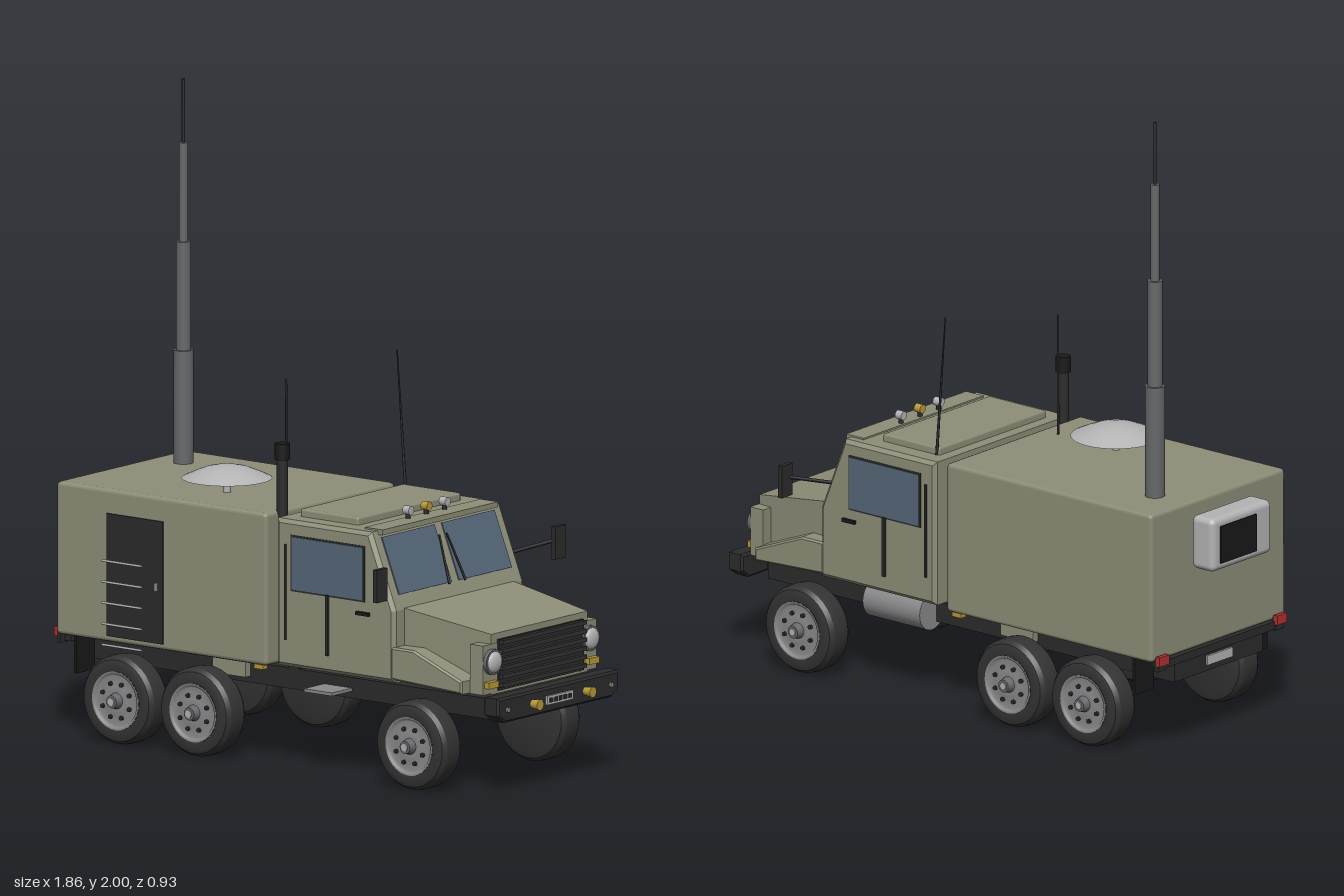
import * as THREE from 'three';
import { RoundedBoxGeometry } from 'three/addons/geometries/RoundedBoxGeometry.js';
import { toCreasedNormals } from 'three/addons/utils/BufferGeometryUtils.js';

const mat = (color, extra = {}) => new THREE.MeshStandardMaterial({ color, ...extra });
const M = {
  paint: mat(0x8e8e79), dark: mat(0x2b2b2b), black: mat(0x191919), tyre: mat(0x333333),
  steel: mat(0x8a8a8c), light: mat(0xb4b4b4), glass: mat(0x566778), amber: mat(0xb99a3a), red: mat(0xb03030),
  mast: mat(0x66686a), dish: mat(0xb4b4b4, { side: THREE.DoubleSide }),
};

export function createModel() {
  const root = new THREE.Group();
  const add = (name, geo, m, x = 0, y = 0, z = 0, parent = root) => {
    const mesh = new THREE.Mesh(geo, m);
    mesh.name = name;
    mesh.position.set(x, y, z);
    parent.add(mesh);
    return mesh;
  };
  // box given by its limits
  const box = (name, m, x0, x1, y0, y1, z0, z1, parent = root) =>
    add(name, new THREE.BoxGeometry(x1 - x0, y1 - y0, z1 - z0), m, (x0 + x1) / 2, (y0 + y1) / 2, (z0 + z1) / 2, parent);
  const rounded = (name, m, x0, x1, y0, y1, z0, z1, r, seg = 1) =>
    add(name, new RoundedBoxGeometry(x1 - x0, y1 - y0, z1 - z0, seg, r), m, (x0 + x1) / 2, (y0 + y1) / 2, (z0 + z1) / 2);
  // round bar between two points
  const rod = (name, m, a, b, r0, r1 = r0, n = 12, parent = root) => {
    const A = new THREE.Vector3(...a), B = new THREE.Vector3(...b), d = B.clone().sub(A);
    const mesh = add(name, new THREE.CylinderGeometry(r1, r0, d.length(), n), m, ...A.clone().add(B).multiplyScalar(0.5), parent);
    mesh.quaternion.setFromUnitVectors(new THREE.Vector3(0, 1, 0), d.normalize());
    return mesh;
  };
  // side profile extruded across z from z0 to z1
  const profile = (name, m, pts, z0, z1, bevel = 0) => {
    const geo = new THREE.ExtrudeGeometry(new THREE.Shape(pts.map(p => new THREE.Vector2(...p))), {
      depth: z1 - z0 - 2 * bevel, bevelEnabled: bevel > 0, bevelSize: bevel, bevelOffset: -bevel, bevelThickness: bevel, bevelSegments: 1,
    });
    return add(name, geo, m, 0, 0, z0 + bevel);
  };
  const both = fn => [1, -1].forEach(fn);

  // chassis and running gear
  box('chassis', M.dark, -0.83, 0.81, 0.23, 0.295, -0.21, 0.21);
  box('bodyMount', M.paint, -0.28, -0.15, 0.25, 0.32, -0.235, 0.235);
  rod('fuelTank', M.steel, [0.13, 0.268, -0.23], [0.36, 0.268, -0.23], 0.06, 0.06, 24);
  box('cabStep', M.steel, 0.14, 0.25, 0.252, 0.262, 0.2, 0.31);
  both(s => {
    box('mudFlap', M.black, -0.76, -0.75, 0.2, 0.32, s * 0.27 - 0.045, s * 0.27 + 0.045);
    box('cabMount', M.dark, 0.0, 0.04, 0.29, 0.36, s * 0.19 - 0.02, s * 0.19 + 0.02);
    box('sideMarker', M.amber, -0.055, -0.02, 0.302, 0.316, s * 0.3 - 0.012, s * 0.3 + 0.012);
  });

  // wheels: the profile runs from the inner face around the tread to the rim
  const tyreGeo = toCreasedNormals(new THREE.LatheGeometry([
    [0, -0.05], [0.11, -0.05], [0.128, -0.044], [0.138, -0.03], [0.14, -0.01], [0.14, 0.015],
    [0.138, 0.032], [0.128, 0.046], [0.11, 0.052], [0.092, 0.05], [0.088, 0.036], [0, 0.036],
  ].map(p => new THREE.Vector2(...p)), 36).rotateX(Math.PI / 2), 0.5);
  const rimGeo = new THREE.LatheGeometry([[0.092, 0.051], [0.084, 0.051], [0.078, 0.041], [0.045, 0.047], [0.03, 0.047], [0, 0.047]]
    .map(p => new THREE.Vector2(...p)).reverse(), 32).rotateX(Math.PI / 2);
  const rimMat = mat(0x8a8a8c, { side: THREE.DoubleSide });
  const hubGeo = new THREE.CylinderGeometry(0.02, 0.026, 0.025, 16).rotateX(Math.PI / 2);
  const boltGeo = new THREE.CylinderGeometry(0.007, 0.007, 0.012, 8).rotateX(Math.PI / 2);
  for (const x of [-0.575, -0.27, 0.58]) both(s => {
    const wheel = new THREE.Group();
    wheel.name = 'wheel';
    wheel.position.set(x, 0.14, s * 0.293);
    if (s < 0) wheel.rotation.y = Math.PI;
    root.add(wheel);
    add('tyre', tyreGeo, M.tyre, 0, 0, 0, wheel);
    add('rim', rimGeo, rimMat, 0, 0, 0, wheel);
    add('hub', hubGeo, M.mast, 0, 0, 0.058, wheel);
    add('hubCap', new THREE.CylinderGeometry(0.012, 0.012, 0.01, 12).rotateX(Math.PI / 2), M.light, 0, 0, 0.069, wheel);
    for (let i = 0; i < 8; i++) {
      const a = (i + 0.5) * Math.PI / 4;
      add('wheelBolt', boltGeo, M.dark, Math.cos(a) * 0.056, Math.sin(a) * 0.056, 0.047, wheel);
    }
  });

  // shelter body with side door and ladder
  rounded('shelter', M.paint, -0.83, 0.0, 0.315, 0.795, -0.32, 0.32, 0.014);
  box('shelterDoor', M.dark, -0.625, -0.405, 0.335, 0.72, 0.315, 0.325);
  box('doorHandle', M.light, -0.432, -0.424, 0.5, 0.525, 0.32, 0.332);
  for (let i = 0; i < 5; i++) rod('ladderRung', M.light, [-0.595, 0.585 - i * 0.066, 0.384], [-0.44, 0.585 - i * 0.066, 0.384], 0.004, 0.004, 8);

  // rear equipment, lamps and plate
  rounded('airUnit', M.light, -0.93, -0.84, 0.585, 0.757, -0.145, 0.14, 0.02, 3);
  box('airUnitGrille', M.black, -0.934, -0.925, 0.61, 0.73, -0.11, 0.06);
  box('airUnitBracket', M.steel, -0.85, -0.82, 0.61, 0.73, -0.1, 0.1);
  box('rearPlate', M.light, -0.837, -0.829, 0.25, 0.28, -0.06, 0.06);
  box('rearBar', M.dark, -0.838, -0.8, 0.29, 0.315, -0.28, 0.28);
  both(s => {
    box('tailLamp', M.red, -0.85, -0.835, 0.305, 0.335, s * 0.28 - 0.023, s * 0.28 + 0.023);
    box('tailLampBase', M.dark, -0.84, -0.825, 0.285, 0.33, s * 0.28 - 0.02, s * 0.28 + 0.02);
  });

  // roof equipment: telescopic mast, dish, aerials, exhaust
  [[0.79, 1.15, 0.031], [1.15, 1.49, 0.023], [1.49, 1.8, 0.014], [1.8, 2.0, 0.005]].forEach(([y0, y1, r]) =>
    rod('mastSection', r < 0.01 ? M.dark : M.mast, [-0.705, y0, -0.155], [-0.705, y1, -0.155], r, r, 20));
  rod('dishStem', M.light, [-0.31, 0.79, 0.125], [-0.31, 0.86, 0.125], 0.012);
  add('dish', new THREE.LatheGeometry([[0.14, 0], [0.105, 0.016], [0.07, 0.03], [0.035, 0.038], [0, 0.041]]
    .map(p => new THREE.Vector2(...p)), 32), M.dish, -0.31, 0.84, 0.125);
  rod('shelterAerial', M.dark, [-0.075, 0.79, 0.127], [-0.075, 1.18, 0.127], 0.004, 0.003, 8);
  rod('cabAerial', M.dark, [0.092, 0.77, -0.255], [0.066, 1.232, -0.243], 0.005, 0.002, 8);
  rod('exhaustStack', M.dark, [0.002, 0.33, 0.243], [0.002, 0.96, 0.243], 0.018, 0.018, 16);
  rod('exhaustCap', M.black, [0.002, 0.955, 0.243], [0.002, 1.005, 0.243], 0.024, 0.024, 16);

  // cab shell, roof hatch and roof lamps
  profile('cab', M.paint, [[0.04, 0.325], [0.505, 0.325], [0.505, 0.55], [0.41, 0.787], [0.04, 0.787]], -0.322, 0.322, 0.012);
  rounded('roofHatch', M.paint, 0.08, 0.31, 0.775, 0.811, -0.255, 0.255, 0.008);
  box('roofVisor', M.paint, 0.36, 0.43, 0.775, 0.792, -0.285, 0.285);
  [-0.09, 0, 0.09].forEach(z => {
    rod('roofLampBase', M.dark, [0.375, 0.785, z], [0.375, 0.808, z], 0.008, 0.008, 8);
    rod('roofLamp', z ? M.light : M.amber, [0.363, 0.817, z], [0.388, 0.817, z], 0.014, 0.014, 14);
  });

  // windscreen panes and wipers lie on the slope of the cab front
  const screen = new THREE.Group();
  screen.name = 'windscreen';
  screen.position.set(0.4575, 0.6685, 0);
  screen.rotation.z = Math.atan2(0.095, 0.237);
  root.add(screen);
  both(s => {
    box('windscreenPane', M.glass, -0.008, 0.004, -0.08, 0.105, s * 0.148 - 0.13, s * 0.148 + 0.13, screen);
    rod('wiper', M.black, [0.01, -0.085, s * 0.04], [0.01, 0.07, s * 0.018], 0.004, 0.003, 6, screen);
  });

  // side windows, door trim and mirrors
  both(s => {
    const pane = (name, m, x0, x1, y0, y1, out) => box(name, m, x0, x1, y0, y1, s * 0.32 - out, s * 0.32 + out);
    pane('windowFrame', M.dark, 0.098, 0.39, 0.565, 0.742, 0.003);
    pane('sideWindow', M.glass, 0.104, 0.384, 0.571, 0.736, 0.006);
    pane('doorHandle', M.black, 0.36, 0.41, 0.524, 0.535, 0.012);
    pane('doorStrip', M.dark, 0.239, 0.249, 0.38, 0.57, 0.01);
    pane('doorPillar', M.dark, 0.074, 0.082, 0.41, 0.71, 0.006);
    rod('mirrorArm', M.black, [0.465, 0.635, s * 0.315], [0.545, 0.665, s * 0.43], 0.006, 0.006, 8);
    box('mirror', M.dark, 0.537, 0.553, 0.605, 0.708, s * 0.44 - 0.026, s * 0.44 + 0.026);
  });

  // bonnet: a box tapered towards the front
  const bonnet = new THREE.BoxGeometry(1, 1, 1), p = bonnet.attributes.position;
  for (let i = 0; i < p.count; i++) {
    const f = p.getX(i) > 0, top = p.getY(i) > 0, s = Math.sign(p.getZ(i));
    p.setXYZ(i, f ? 0.82 : 0.495, top ? (f ? 0.505 : 0.555) : (f ? 0.315 : 0.33), s * (f ? 0.238 : 0.272));
  }
  bonnet.computeVertexNormals();
  add('bonnet', bonnet, M.paint);

  // front wings
  both(s => profile('frontWing', M.paint, [[0.49, 0.335], [0.77, 0.322], [0.77, 0.362], [0.58, 0.437], [0.49, 0.437]],
    s > 0 ? 0.2 : -0.322, s > 0 ? 0.322 : -0.2, 0.006));

  // grille, headlamps and indicators
  box('grillePanel', M.dark, 0.81, 0.828, 0.325, 0.485, -0.21, 0.21);
  for (let i = 0; i < 6; i++) box('grilleBar', M.tyre, 0.82, 0.842, 0.335 + i * 0.027, 0.348 + i * 0.027, -0.207, 0.207);
  both(s => {
    box('headlampPanel', M.paint, 0.77, 0.822, 0.32, 0.475, s * 0.24 - 0.04, s * 0.24 + 0.04);
    rod('headlampRing', M.mast, [0.81, 0.42, s * 0.24], [0.835, 0.42, s * 0.24], 0.04, 0.04, 24);
    const lens = add('headlampLens', new THREE.SphereGeometry(0.034, 20, 10), M.light, 0.834, 0.42, s * 0.24);
    lens.scale.x = 0.45;
    box('indicator', M.amber, 0.815, 0.84, 0.34, 0.36, s * 0.248 - 0.025, s * 0.248 + 0.025);
  });

  // front bumper with chamfered lower corners, fog lamps and plate
  const bumper = new THREE.Shape([[-0.3, 0.32], [-0.3, 0.265], [-0.265, 0.24], [0.265, 0.24], [0.3, 0.265], [0.3, 0.32]]
    .map(q => new THREE.Vector2(...q)));
  const bumperGeo = new THREE.ExtrudeGeometry(bumper, { depth: 0.045, bevelSize: 0.007, bevelOffset: -0.007, bevelThickness: 0.007, bevelSegments: 1 });
  add('frontBumper', bumperGeo.rotateY(Math.PI / 2), M.dark, 0.845, 0, 0);
  both(s => {
    box('bumperBracket', M.dark, 0.79, 0.85, 0.25, 0.295, s * 0.16 - 0.02, s * 0.16 + 0.02);
    rod('fogLamp', M.amber, [0.89, 0.28, s * 0.13], [0.928, 0.28, s * 0.13], 0.012, 0.017, 16);
    rod('bumperBolt', M.steel, [0.89, 0.28, s * 0.255], [0.904, 0.28, s * 0.255], 0.008, 0.008, 8);
  });
  box('frontPlate', M.light, 0.89, 0.903, 0.266, 0.294, -0.065, 0.065);
  for (let i = 0; i < 5; i++) box('plateSlot', M.dark, 0.9, 0.906, 0.273, 0.287, -0.053 + i * 0.023, -0.039 + i * 0.023);

  return root;
}
